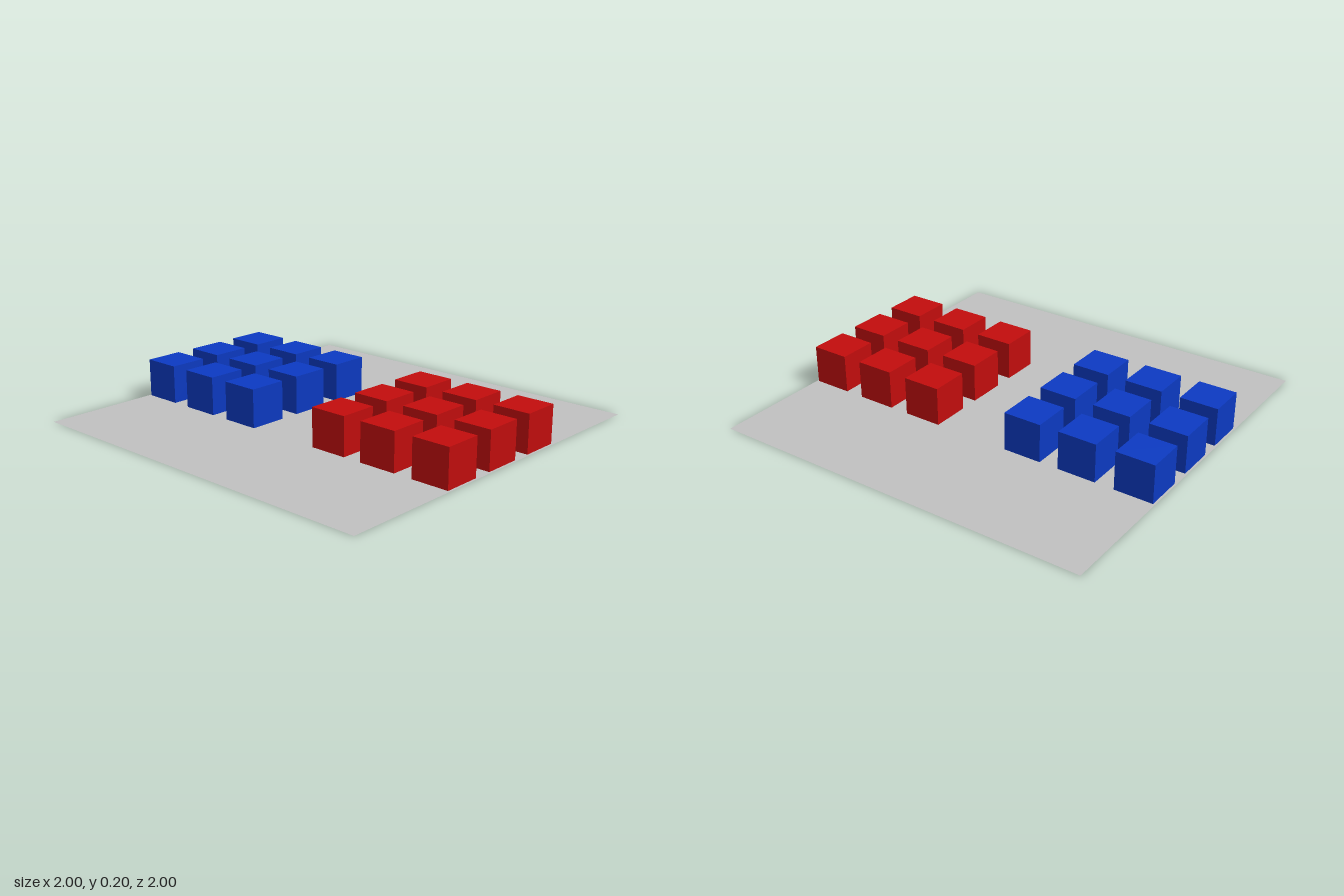
import * as THREE from 'three';

const SIZE = 0.198;  // cube edge
const STEP = 0.297;  // distance between cube centres
const LIFT = 0.001;  // keeps cube bottoms clear of the board

const material = (name, color, side = THREE.FrontSide) =>
  Object.assign(new THREE.MeshStandardMaterial({ color, side }), { name });

export function createModel() {
  const model = new THREE.Group();
  model.name = 'cubesOnBoard';

  const grey = material('board grey', 0xc0c0c0, THREE.DoubleSide);
  const red = material('cube red', 0xc20d0d);
  const blue = material('cube blue', 0x0c3ac2);

  // Flat square board
  const board = new THREE.Mesh(new THREE.PlaneGeometry(2, 2).rotateX(-Math.PI / 2), grey);
  board.name = 'board';
  model.add(board);

  // Three-by-three block of cubes on each side of the board
  const height = SIZE - LIFT;
  const cubeGeometry = new THREE.BoxGeometry(SIZE, height, SIZE).translate(0, LIFT + height / 2, 0);
  const addCubes = (name, side, mat) => {
    const block = new THREE.Group();
    block.name = name + 'Cubes';
    for (let column = 1; column <= 3; column++) {
      for (let row = -1; row <= 1; row++) {
        const cube = new THREE.Mesh(cubeGeometry, mat);
        cube.name = name + 'Cube';
        cube.position.set(side * column * STEP, 0, row * STEP);
        block.add(cube);
      }
    }
    model.add(block);
  };
  addCubes('red', 1, red);
  addCubes('blue', -1, blue);

  return model;
}
